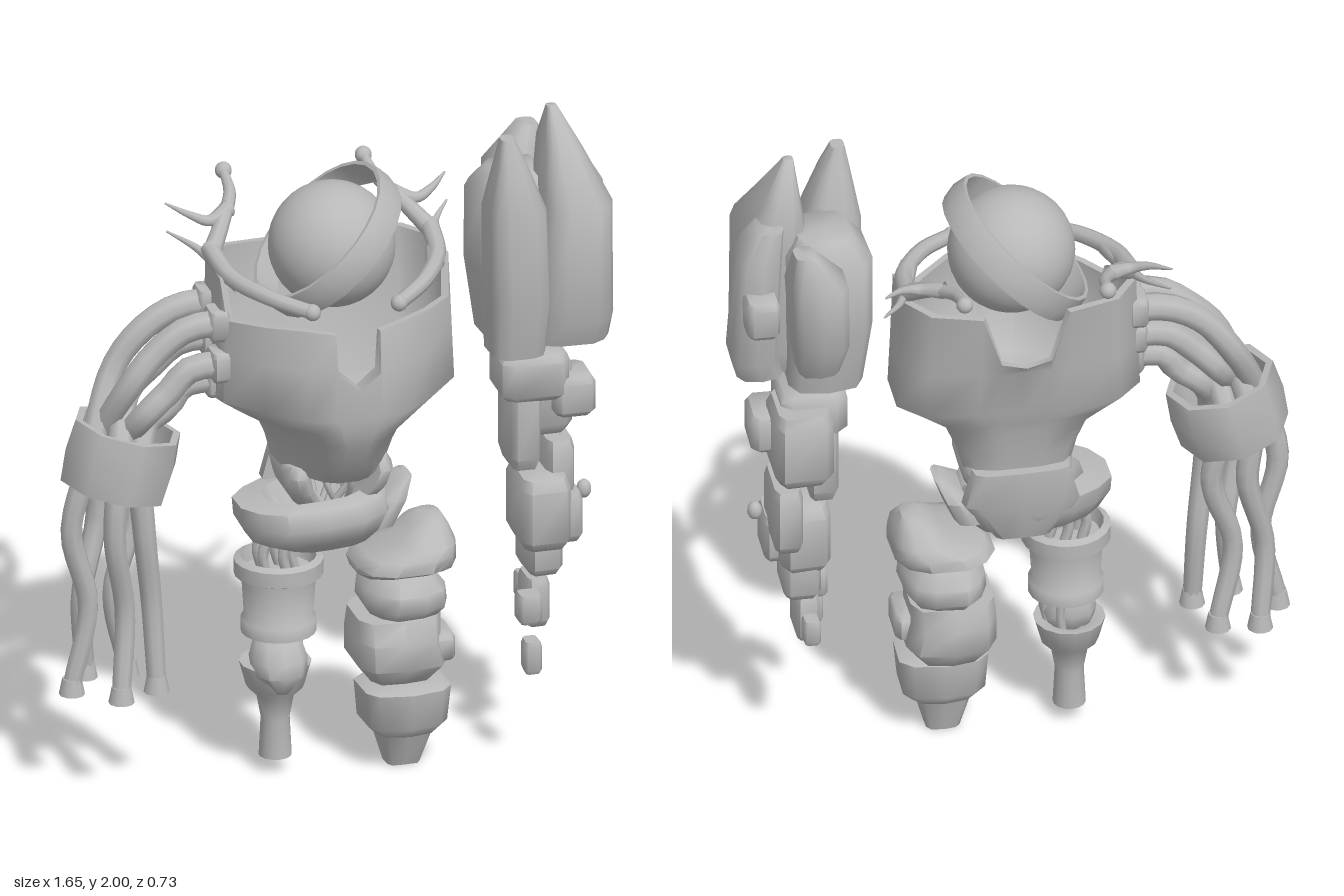
import * as THREE from 'three';
import { toCreasedNormals } from 'three/addons/utils/BufferGeometryUtils.js';

const V = (x, y, z) => new THREE.Vector3(x, y, z);

export function createModel() {
  const model = new THREE.Group();
  model.name = 'brokenGolem';
  const stone = new THREE.MeshStandardMaterial({ color: 0xb8b8b8, side: THREE.DoubleSide });
  stone.name = 'grey stone';

  let seed = 7;
  const rand = () => (seed = (seed * 16807) % 2147483647) / 2147483647;

  const group = (name) => {
    const g = new THREE.Group();
    g.name = name;
    model.add(g);
    return g;
  };
  const add = (parent, name, geometry, x = 0, y = 0, z = 0) => {
    const mesh = new THREE.Mesh(geometry, stone);
    mesh.name = name;
    mesh.position.set(x, y, z);
    parent.add(mesh);
    return mesh;
  };

  // Closed skin over a stack of rings with the same number of points
  function skin(rings) {
    const n = rings[0].length, last = (rings.length - 1) * n, idx = [];
    const pts = rings.flat();
    const centre = (r) => r.reduce((s, p) => s.add(p), V(0, 0, 0)).divideScalar(n);
    const bottom = pts.length, top = bottom + 1;
    pts.push(centre(rings[0]), centre(rings[rings.length - 1]));
    for (let j = 0; j < n; j++) {
      const k = (j + 1) % n;
      for (let o = 0; o < last; o += n) idx.push(o + j, o + n + j, o + k, o + k, o + n + j, o + n + k);
      idx.push(bottom, j, k, top, last + k, last + j);
    }
    const g = new THREE.BufferGeometry().setFromPoints(pts);
    g.setIndex(idx);
    return toCreasedNormals(g, 1.05);
  }

  // Worn boulder from sections [x, y, z, halfWidth, halfDepth], listed bottom to top
  function rock(parent, name, sections, sides = 10, square = 0.6) {
    const wobble = Array.from({ length: sides }, () => 0.96 + 0.08 * rand());
    const bulge = (v) => Math.sign(v) * Math.abs(v) ** square;
    const rings = sections.map(([x, y, z, rx, rz]) => wobble.map((w, j) => {
      const a = ((j + 0.5) / sides) * Math.PI * 2;
      return V(x + rx * w * bulge(Math.cos(a)), y, z + rz * w * bulge(Math.sin(a)));
    }));
    return add(parent, name, skin(rings));
  }

  // Chamfered block from its limits
  function block(parent, name, x0, x1, y0, y1, z0, z1) {
    const x = (x0 + x1) / 2, z = (z0 + z1) / 2, w = (x1 - x0) / 2, d = (z1 - z0) / 2, c = (y1 - y0) * 0.14;
    return rock(parent, name, [[x, y0, z, w * 0.8, d * 0.8], [x, y0 + c, z, w, d],
      [x, y1 - c, z, w, d], [x, y1, z, w * 0.85, d * 0.85]], 8, 0.4);
  }

  // Tube whose radius runs from r0 to r1
  function strand(parent, name, points, r0, r1 = r0, steps = 20, sides = 8) {
    const path = new THREE.CatmullRomCurve3(points.map((p) => V(...p)));
    const g = new THREE.TubeGeometry(path, steps, 1, sides);
    const pos = g.attributes.position, p = V(0, 0, 0);
    for (let i = 0; i < pos.count; i++) {
      const t = Math.floor(i / (sides + 1)) / steps, c = path.getPointAt(t);
      p.fromBufferAttribute(pos, i).sub(c).multiplyScalar(r0 + (r1 - r0) * t).add(c);
      pos.setXYZ(i, p.x, p.y, p.z);
    }
    return add(parent, name, g);
  }

  const lathe = (profile, sides) =>
    toCreasedNormals(new THREE.LatheGeometry(profile.map(([r, y]) => new THREE.Vector2(r, y)), sides), 0.9);
  const band = (r, thick, h, sides) =>
    lathe([[r - 0.008, -h / 2], [r, 0], [r - 0.008, h / 2], [r - thick, h / 2], [r - thick, -h / 2], [r - 0.008, -h / 2]], sides);
  const ball = (parent, name, r, x, y, z) => add(parent, name, new THREE.SphereGeometry(r, 12, 8), x, y, z);

  // Head with its slanted hoop
  const head = group('head');
  add(head, 'headSphere', new THREE.SphereGeometry(0.185, 32, 20), -0.02, 1.63, 0.06);
  add(head, 'headHoop', band(0.255, 0.02, 0.09, 24), -0.03, 1.64, 0.05).rotation.z = 0.77;

  // Hollow chest: half outline as [x offset, z, rim height], front to back
  const half = [[0, 0.36, 1.29], [0.06, 0.36, 1.34], [0.068, 0.36, 1.46], [0.15, 0.33, 1.47], [0.25, 0.24, 1.46],
    [0.34, 0.13, 1.45], [0.35, 0.09, 1.57], [0.35, -0.07, 1.57], [0.28, -0.17, 1.57], [0.13, -0.2, 1.56],
    [0.075, -0.2, 1.4], [0, -0.2, 1.38]];
  const outline = [...half.map(([x, z, h]) => [-x, z, h]),
    ...half.slice(1, -1).reverse().map(([x, z, h]) => [x, z, h])];
  const level = (y, sx, front, back) => outline.map(([x, z, h]) =>
    V(-0.02 + x * sx, y === null ? h : Math.min(y, h), z > 0 ? (z * front) / 0.36 : (z * back) / 0.2));
  add(group('torso'), 'chestShell', skin([
    level(0.95, 0.45, 0.23, 0.09), level(1.02, 0.5, 0.285, 0.1), level(1.11, 0.61, 0.34, 0.12),
    level(1.15, 0.8, 0.355, 0.13), level(1.2, 1.02, 0.365, 0.15), level(1.35, 1, 0.365, 0.17),
    level(null, 0.98, 0.335, 0.195), level(null, 0.92, 0.315, 0.175), level(1.28, 0.92, 0.33, 0.15),
    level(1.15, 0.6, 0.25, 0.1),
  ]));

  // Branching horns round the collar
  const horns = group('collarHorns');
  for (const s of [-1, 1]) {
    const m = ([x, y, z]) => [-0.02 + s * x, y, z];
    const horn = (name, r0, r1, ...points) => strand(horns, name, points.map(m), r0, r1);
    horn('collarHorn', 0.022, 0.028, [0.13, 1.53, 0.31], [0.23, 1.55, 0.22], [0.31, 1.57, 0.08], [0.33, 1.6, -0.07]);
    horn('backHorn', 0.014, 0.028, [0.21, 1.72, -0.34], [0.22, 1.69, -0.24], [0.27, 1.65, -0.14], [0.33, 1.59, -0.05]);
    horn('upperSpike', 0.026, 0.003, [0.24, 1.67, -0.18], [0.31, 1.655, -0.14], [0.36, 1.67, -0.16], [0.42, 1.69, -0.22]);
    horn('lowerSpike', 0.028, 0.003, [0.29, 1.56, 0.13], [0.32, 1.57, 0], [0.36, 1.59, -0.11], [0.42, 1.61, -0.2]);
    ball(horns, 'frontKnob', 0.025, ...m([0.13, 1.53, 0.31]));
    ball(horns, 'backKnob', 0.025, ...m([0.21, 1.72, -0.34]));
  }

  // Waist: side lobes, back plate and loose cords
  const waist = group('waist');
  for (const s of [-1, 1]) {
    rock(waist, 'waistLobe', [[-0.02 + s * 0.08, 0.84, 0.04, 0.04, 0.09], [-0.02 + s * 0.11, 0.89, 0.04, 0.042, 0.13],
      [-0.02 + s * 0.125, 0.95, 0.05, 0.042, 0.14], [-0.02 + s * 0.12, 0.98, 0.05, 0.03, 0.12]], 12, 0.8);
  }
  rock(waist, 'backPlate', [[-0.03, 0.72, -0.05, 0.08, 0.03], [-0.02, 0.86, -0.09, 0.17, 0.035], [-0.02, 0.97, -0.09, 0.14, 0.035]]);
  for (let i = 0; i < 6; i++) {
    const a = (i / 6) * Math.PI * 2, at = (t, y, r) => [-0.02 + r * Math.cos(a + t), y, 0.05 + r * Math.sin(a + t)];
    strand(waist, 'waistCord', [at(0, 0.8, 0.04), at(1, 0.91, 0.075), at(2, 1, 0.04)], 0.01, 0.01, 10, 6);
  }

  // Hip bowl with a raised left tip
  const hips = group('hips');
  rock(hips, 'hipBowl', [[0, 0.7, 0.05, 0.13, 0.08], [-0.03, 0.75, 0.06, 0.2, 0.14],
    [-0.03, 0.81, 0.06, 0.23, 0.17], [-0.04, 0.86, 0.05, 0.22, 0.16], [-0.03, 0.87, 0.05, 0.15, 0.11],
    [-0.03, 0.79, 0.05, 0.1, 0.07]], 14, 0.85).rotation.z = 0.05;
  rock(hips, 'hipTip', [[0.11, 0.75, 0.05, 0.05, 0.09], [0.15, 0.83, 0.05, 0.045, 0.1], [0.2, 0.885, 0.05, 0.015, 0.05]]);

  // Right leg: turned drum, knee and peg
  const rightLeg = group('rightLeg');
  const lx = -0.18, lz = 0.06;
  add(rightLeg, 'thighDrum', lathe([[0, 0.62], [0.1, 0.63], [0.11, 0.675], [0.13, 0.665], [0.13, 0.62], [0.108, 0.61],
    [0.1, 0.49], [0.11, 0.48], [0.11, 0.44], [0.085, 0.435], [0, 0.45]].reverse(), 20), lx, 0, lz);
  add(rightLeg, 'shinPeg', lathe([[0, 0.05], [0.048, 0.05], [0.042, 0.17], [0.055, 0.24], [0.085, 0.27],
    [0.105, 0.345], [0.08, 0.345], [0, 0.29]], 14), lx - 0.01, 0, lz);
  rock(rightLeg, 'kneeCap', [[lx - 0.01, 0.27, lz + 0.05, 0.025, 0.04], [lx - 0.01, 0.33, lz + 0.04, 0.08, 0.09],
    [lx - 0.01, 0.37, lz + 0.03, 0.085, 0.09], [lx - 0.01, 0.42, lz + 0.02, 0.07, 0.07],
    [lx - 0.01, 0.45, lz + 0.01, 0.035, 0.04]], 10, 0.9);
  for (let i = 0; i < 5; i++) {
    const a = (i / 5) * Math.PI * 2, x = lx + 0.05 * Math.cos(a), z = lz + 0.05 * Math.sin(a);
    strand(rightLeg, 'hipCord', [[x, 0.62, z], [x - 0.015, 0.69, z], [x + 0.01, 0.76, z]], 0.016, 0.016, 8, 6);
    strand(rightLeg, 'kneeCord', [[x, 0.3, z], [x + 0.01, 0.38, z], [x, 0.46, z]], 0.014, 0.014, 8, 6);
  }

  // Left leg: stack of floating stones
  const leftLeg = group('leftLeg');
  rock(leftLeg, 'hipStone', [[0.18, 0.605, 0.07, 0.14, 0.11], [0.185, 0.63, 0.07, 0.15, 0.16], [0.2, 0.665, 0.07, 0.135, 0.16],
    [0.25, 0.69, 0.07, 0.085, 0.13], [0.26, 0.73, 0.06, 0.06, 0.09], [0.275, 0.755, 0.06, 0.03, 0.05]], 12, 0.75);
  rock(leftLeg, 'thighStone', [[0.18, 0.48, 0.07, 0.105, 0.13], [0.18, 0.51, 0.07, 0.125, 0.16],
    [0.18, 0.56, 0.07, 0.12, 0.16], [0.18, 0.6, 0.07, 0.08, 0.11]], 12, 0.75);
  rock(leftLeg, 'kneeStone', [[0.17, 0.27, 0.07, 0.09, 0.1], [0.17, 0.33, 0.075, 0.135, 0.15],
    [0.16, 0.41, 0.075, 0.125, 0.15], [0.165, 0.47, 0.07, 0.125, 0.12]]);
  block(leftLeg, 'kneeChip', 0.22, 0.325, 0.33, 0.41, 0.02, 0.19);
  rock(leftLeg, 'shinStone', [[0.18, 0.11, 0.1, 0.09, 0.085], [0.18, 0.14, 0.1, 0.12, 0.105],
    [0.18, 0.25, 0.105, 0.13, 0.11], [0.18, 0.26, 0.105, 0.11, 0.09]], 10, 0.55);
  rock(leftLeg, 'footStone', [[0.18, 0, 0.09, 0.05, 0.04], [0.18, 0.12, 0.1, 0.085, 0.08]]);

  // Right arm: cords gathered by a cuff
  const rightArm = group('rightArm');
  [[1.45, -0.04, -0.8, 0.06], [1.43, 0.08, -0.73, -0.05], [1.35, -0.02, -0.68, 0.16],
    [1.31, 0.1, -0.61, -0.03], [1.24, 0.04, -0.56, 0.11]].forEach(([y, z, bx, bz], i) => {
    const sway = i % 2 ? 0.03 : -0.02;
    strand(rightArm, 'armCord', [[-0.34, y, z], [-0.46, y - 0.01, z], [-0.565 + 0.015 * i, y - 0.07, z],
      [-0.65 + 0.02 * i, y - 0.18 + 0.015 * i, z], [-0.68 + (bx + 0.68) * 0.6, 1.02, 0.045 + (bz - 0.045) * 0.8],
      [-0.68 + (bx + 0.68) * 0.85 + sway, 0.82, bz], [-0.68 + (bx + 0.68) * 0.75 - sway, 0.58, 0.045 + (bz - 0.045) * 0.7],
      [bx, 0.34, bz]], 0.042, 0.028, 30);
    add(rightArm, 'cordTip', new THREE.CylinderGeometry(0.028, 0.038, 0.05, 10), bx, 0.335, bz);
    block(rightArm, 'cordSocket', -0.4, -0.34, y - 0.045, y + 0.045, z - 0.05, z + 0.05);
  });
  add(rightArm, 'wristCuff', band(0.17, 0.03, 0.19, 8), -0.65, 1.03, 0.045).rotation.z = -0.24;

  // Left shoulder: cluster of spires
  const shoulder = group('leftShoulder');
  rock(shoulder, 'outerSpire', [[0.66, 1.31, 0.14, 0.11, 0.12], [0.67, 1.39, 0.14, 0.11, 0.155], [0.675, 1.74, 0.15, 0.1, 0.15],
    [0.655, 1.88, 0.09, 0.055, 0.1], [0.63, 2, 0.09, 0.015, 0.015]], 12);
  rock(shoulder, 'frontSpire', [[0.5, 1.28, 0.16, 0.08, 0.09], [0.5, 1.45, 0.18, 0.09, 0.105], [0.49, 1.74, 0.19, 0.085, 0.1],
    [0.475, 1.88, 0.2, 0.045, 0.055], [0.465, 1.96, 0.2, 0.02, 0.025]], 12);
  rock(shoulder, 'innerBoulder', [[0.54, 1.29, 0.04, 0.11, 0.12], [0.53, 1.5, 0.03, 0.125, 0.15], [0.53, 1.72, 0.03, 0.125, 0.14],
    [0.54, 1.79, 0.03, 0.08, 0.09]]);
  rock(shoulder, 'backSpire', [[0.58, 1.4, -0.1, 0.06, 0.07], [0.58, 1.52, -0.14, 0.08, 0.1], [0.59, 1.73, -0.155, 0.085, 0.095],
    [0.63, 1.84, -0.17, 0.03, 0.04]]);
  rock(shoulder, 'sideBoulder', [[0.73, 1.33, 0.03, 0.07, 0.08], [0.75, 1.4, 0.02, 0.07, 0.1], [0.73, 1.74, 0.02, 0.065, 0.1],
    [0.7, 1.83, 0.01, 0.04, 0.06]]);
  block(shoulder, 'shoulderChip', 0.69, 0.79, 1.53, 1.65, -0.15, 0);

  // Left arm: floating blocks with a few finger stones
  const leftArm = group('leftArm');
  for (const [name, ...limits] of [
    ['upperBlock', 0.47, 0.67, 1.1, 1.24, -0.04, 0.17], ['upperCore', 0.52, 0.7, 0.97, 1.21, -0.1, 0.12],
    ['upperOuterBlock', 0.62, 0.75, 1.04, 1.16, 0, 0.17], ['elbowBlock', 0.5, 0.59, 0.88, 1.14, -0.04, 0.15],
    ['forearmTop', 0.61, 0.7, 0.74, 0.95, -0.09, 0.13], ['forearmCore', 0.52, 0.67, 0.64, 0.86, -0.05, 0.2],
    ['forearmEdge', 0.62, 0.71, 0.65, 0.8, 0.02, 0.17], ['wristBlock', 0.55, 0.66, 0.54, 0.7, -0.03, 0.14],
    ['palmStone', 0.55, 0.62, 0.38, 0.53, 0.0, 0.13], ['fingerStone', 0.5, 0.57, 0.43, 0.52, 0.15, 0.22],
    ['fingerTip', 0.5, 0.55, 0.3, 0.4, 0.21, 0.28], ['thumbStone', 0.56, 0.61, 0.41, 0.49, -0.07, -0.01],
  ]) block(leftArm, name, ...limits);
  ball(leftArm, 'forearmPebble', 0.022, 0.725, 0.79, 0.1).scale.y = 1.3;

  return model;
}
